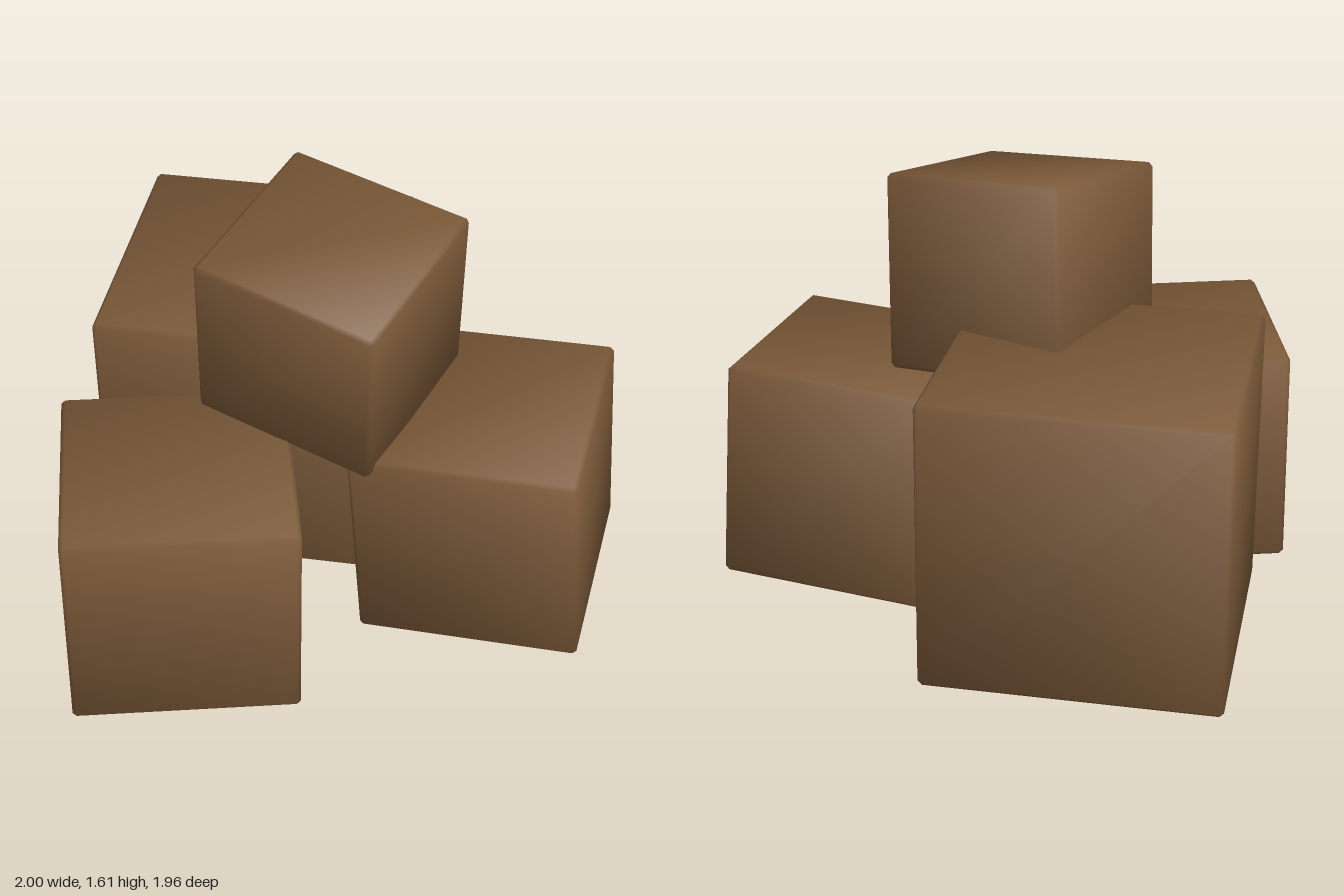
import * as THREE from 'three';
import { ConvexGeometry } from 'three/addons/geometries/ConvexGeometry.js';

const BEVEL = 0.015;
const SOFTNESS = 0.43; // how far the corner normals lean outwards

// Cube with narrow chamfered edges and softly blended normals
function chamferedCube(size) {
  const h = size / 2;
  const points = [];
  for (const sx of [-1, 1]) for (const sy of [-1, 1]) for (const sz of [-1, 1]) {
    for (let axis = 0; axis < 3; axis++) {
      const p = [sx, sy, sz].map((s, i) => s * (i === axis ? h : h - BEVEL));
      points.push(new THREE.Vector3(...p));
    }
  }
  const geometry = new ConvexGeometry(points);
  const pos = geometry.attributes.position;
  const normal = geometry.attributes.normal;
  const lean = (c) => Math.sign(c) * (Math.abs(c) > h - BEVEL / 2 ? 1 : SOFTNESS);
  const n = new THREE.Vector3();
  for (let i = 0; i < pos.count; i++) {
    n.set(lean(pos.getX(i)), lean(pos.getY(i)), lean(pos.getZ(i))).normalize();
    normal.setXYZ(i, n.x, n.y, n.z);
  }
  return geometry;
}

export function createModel() {
  const group = new THREE.Group();
  group.name = 'stackedBlocks';
  const brown = new THREE.MeshStandardMaterial({ color: 0x7b5938 });
  brown.name = 'brown';

  // Three blocks on the ground and one tilted on top
  const blocks = [
    { name: 'largeBackBlock', size: 1.03, at: [-0.38, 0.555, -0.46], turn: [0.012, -0.012, 0] },
    { name: 'frontBlock', size: 0.806, at: [-0.51, 0.425, 0.49], turn: [0.005, 0.245, -0.017] },
    { name: 'sideBlock', size: 0.81, at: [0.533, 0.445, -0.012], turn: [0.04, -0.1, 0.055] },
    { name: 'topBlock', size: 0.69, at: [-0.035, 1.196, 0.028], turn: [0.15, -0.369, -0.103] },
  ];
  for (const { name, size, at, turn } of blocks) {
    const block = new THREE.Mesh(chamferedCube(size), brown);
    block.name = name;
    block.position.set(...at);
    block.rotation.set(...turn, 'YXZ');
    group.add(block);
  }
  return group;
}
